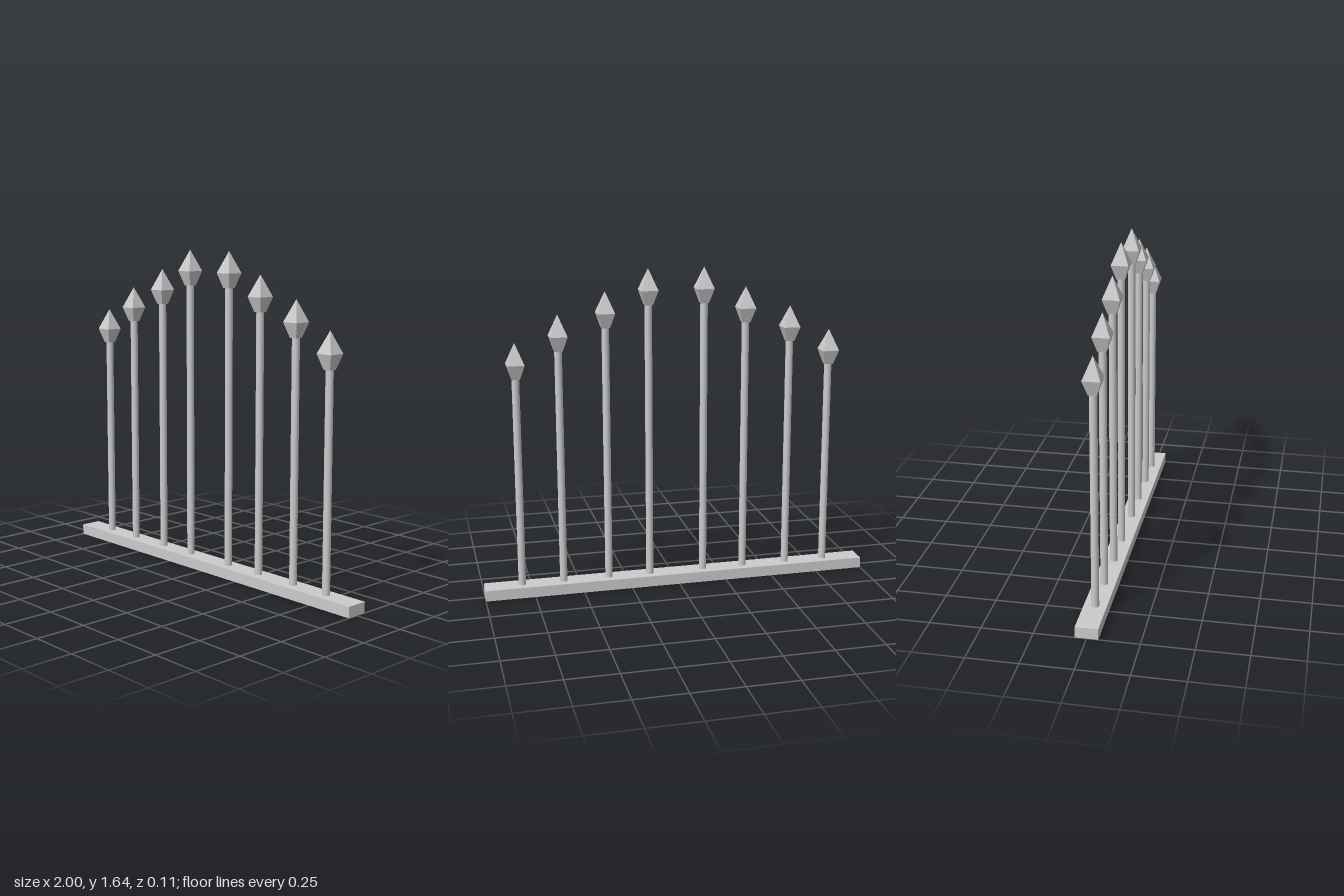
import * as THREE from 'three';

export function createModel() {
  const model = new THREE.Group();
  const smooth = new THREE.MeshStandardMaterial({ color: 0xcccccc });
  const faceted = new THREE.MeshStandardMaterial({ color: 0xcccccc, flatShading: true });

  // Bottom rail
  const railHeight = 0.055;
  const rail = new THREE.Mesh(new THREE.BoxGeometry(2, railHeight, 0.11), faceted);
  rail.name = 'bottomRail';
  rail.position.y = railHeight / 2;
  model.add(rail);

  // Four-sided spear head, origin at its tip; profile gives half widths
  const profile = [[0, -0.18], [0.02, -0.18], [0.043, -0.107], [0, 0]]
    .map(([w, y]) => new THREE.Vector2(w * Math.SQRT2, y));
  const headGeometry = new THREE.LatheGeometry(profile, 4, Math.PI / 4);

  // Pickets rise toward the middle: [distance from middle, tip height]
  const pickets = [[0.142, 1.64], [0.358, 1.535], [0.593, 1.43], [0.805, 1.3]];
  const shift = 0.005;
  for (const side of [-1, 1]) {
    for (const [distance, tip] of pickets) {
      const picket = new THREE.Group();
      picket.name = 'picket';
      picket.position.x = side * distance + shift;

      const length = tip - 0.17 - railHeight;
      const shaft = new THREE.Mesh(new THREE.CylinderGeometry(0.019, 0.019, length, 16), smooth);
      shaft.name = 'shaft';
      shaft.position.y = railHeight + length / 2;

      const head = new THREE.Mesh(headGeometry, faceted);
      head.name = 'spearHead';
      head.position.y = tip;

      picket.add(shaft, head);
      model.add(picket);
    }
  }
  return model;
}
